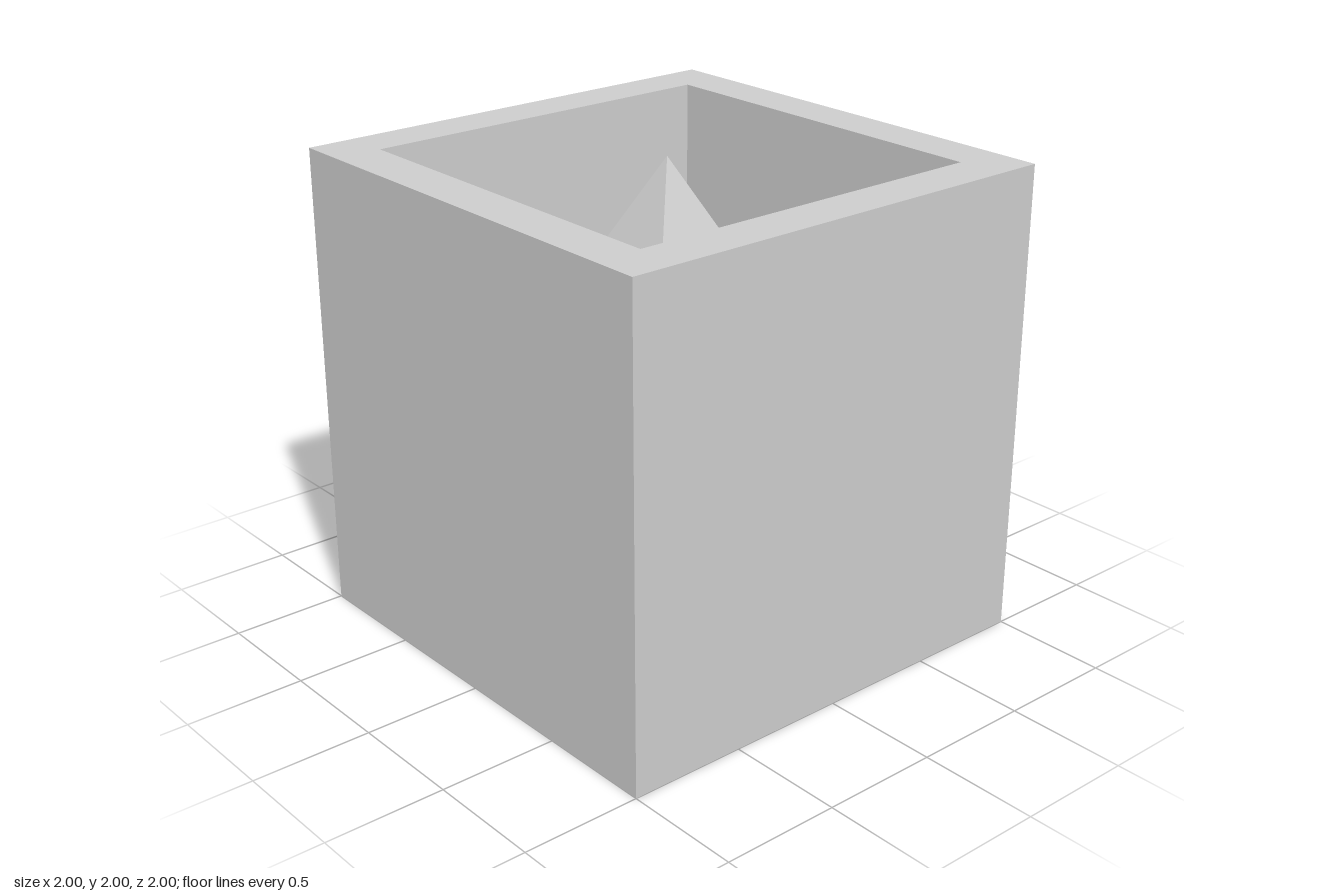
import * as THREE from 'three';

const grey = new THREE.MeshStandardMaterial({ color: 0xcccccc });
grey.name = 'grey';

// Square solid: a profile of [half width, height] swept round four flat sides
function squareLathe(name, profile) {
  const points = profile.map(([half, y]) => new THREE.Vector2(half * Math.SQRT2, y));
  const geometry = new THREE.LatheGeometry(points, 4, Math.PI / 4).toNonIndexed();
  geometry.computeVertexNormals();
  const mesh = new THREE.Mesh(geometry, grey);
  mesh.name = name;
  return mesh;
}

export function createModel() {
  const model = new THREE.Group();
  model.name = 'openBoxWithPyramid';

  // Underside, outer walls, rim and inner walls
  model.add(squareLathe('openBox', [[0, 0], [1, 0], [1, 2], [0.8, 2], [0.8, 0.4]]));

  // Pyramid filling the cavity, its tip level with the rim
  model.add(squareLathe('innerPyramid', [[0.8, 0.4], [0, 2]]));

  return model;
}
